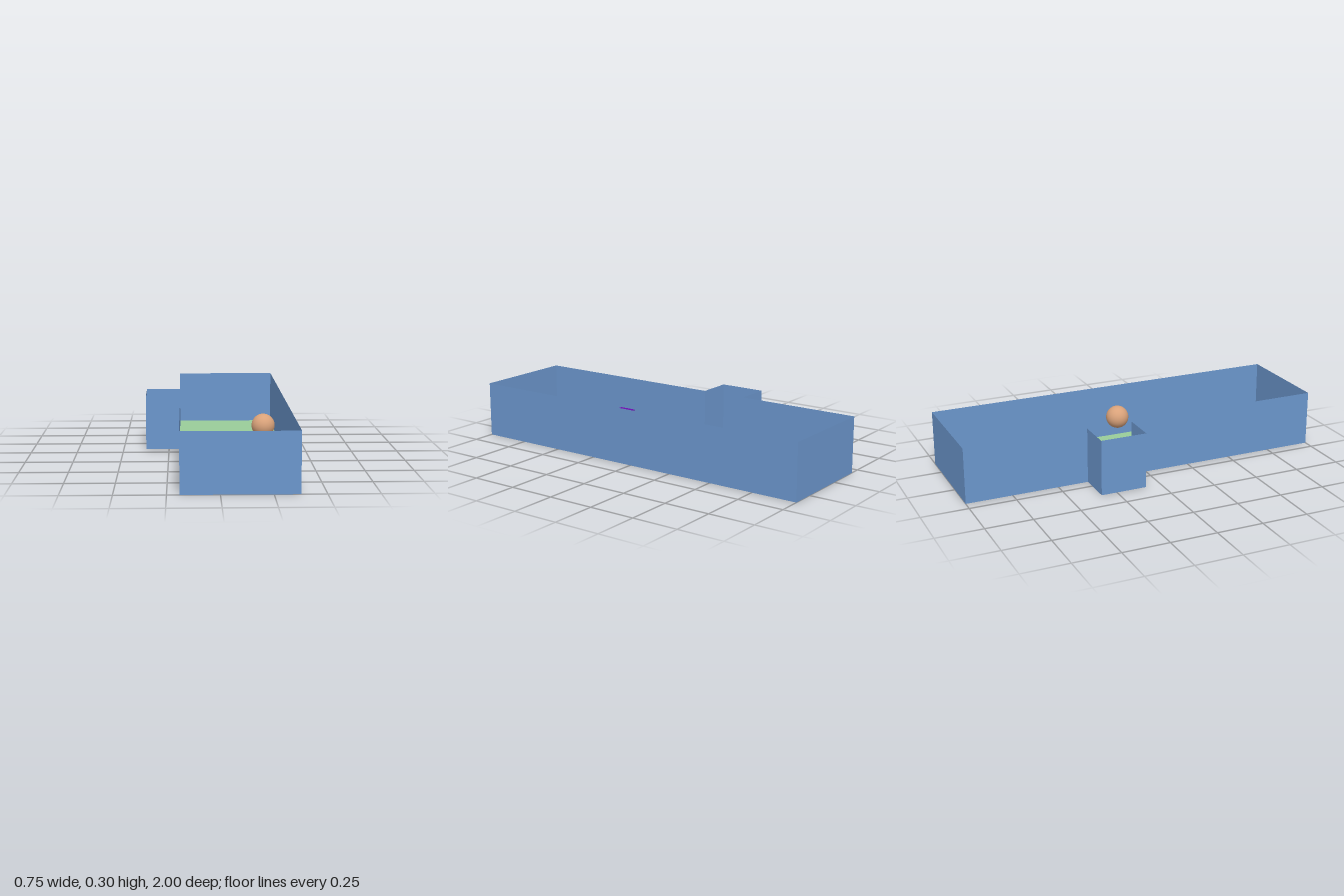
import * as THREE from 'three';

const HEIGHT = 0.3;

function sheet(color) {
  return new THREE.MeshStandardMaterial({ color, side: THREE.DoubleSide });
}

// Horizontal floor sheet between two corners
function floor(name, x0, x1, z0, z1, color) {
  const geo = new THREE.PlaneGeometry(x1 - x0, z1 - z0).rotateX(-Math.PI / 2);
  const mesh = new THREE.Mesh(geo, sheet(color));
  mesh.position.set((x0 + x1) / 2, 0, (z0 + z1) / 2);
  mesh.name = name;
  return mesh;
}

// Upright wall sheet between two floor points
function wall([ax, az], [bx, bz], material) {
  const geo = new THREE.PlaneGeometry(Math.hypot(bx - ax, bz - az), HEIGHT);
  const mesh = new THREE.Mesh(geo, material);
  mesh.position.set((ax + bx) / 2, HEIGHT / 2, (az + bz) / 2);
  mesh.rotation.y = -Math.atan2(bz - az, bx - ax);
  mesh.name = 'wall';
  return mesh;
}

export function createModel() {
  const model = new THREE.Group();
  model.name = 'room';
  const blue = 0x6b96cc;
  const right = 0.376, left = -0.19, nook = -0.376;
  const nookBack = -0.335, nookFront = -0.085;

  // Walls follow the outline of the room and its alcove
  const outline = [
    [left, 1], [right, 1], [right, -1], [left, -1],
    [left, nookBack], [nook, nookBack], [nook, nookFront], [left, nookFront],
  ];
  const walls = new THREE.Group();
  walls.name = 'walls';
  const wallMaterial = sheet(blue);
  outline.forEach((p, i) => walls.add(wall(p, outline[(i + 1) % outline.length], wallMaterial)));
  model.add(walls);

  // Floors
  model.add(floor('roomFloor', left, right, -1, 1, 0x99cc99));
  model.add(floor('alcoveFloor', nook, left, nookBack, nookFront, blue));

  // Ball floating beside the long wall
  const ball = new THREE.Mesh(
    new THREE.SphereGeometry(0.063, 32, 24),
    new THREE.MeshStandardMaterial({ color: 0xd9a27a }));
  ball.position.set(0.262, 0.153, 0.032);
  ball.name = 'ball';
  model.add(ball);

  // Small box near the opposite wall
  const box = new THREE.Mesh(
    new THREE.BoxGeometry(0.05, 0.095, 0.095),
    new THREE.MeshStandardMaterial({ color: 0x6a0dad }));
  box.position.set(-0.156, 0.073, 0.447);
  box.name = 'box';
  model.add(box);

  return model;
}
